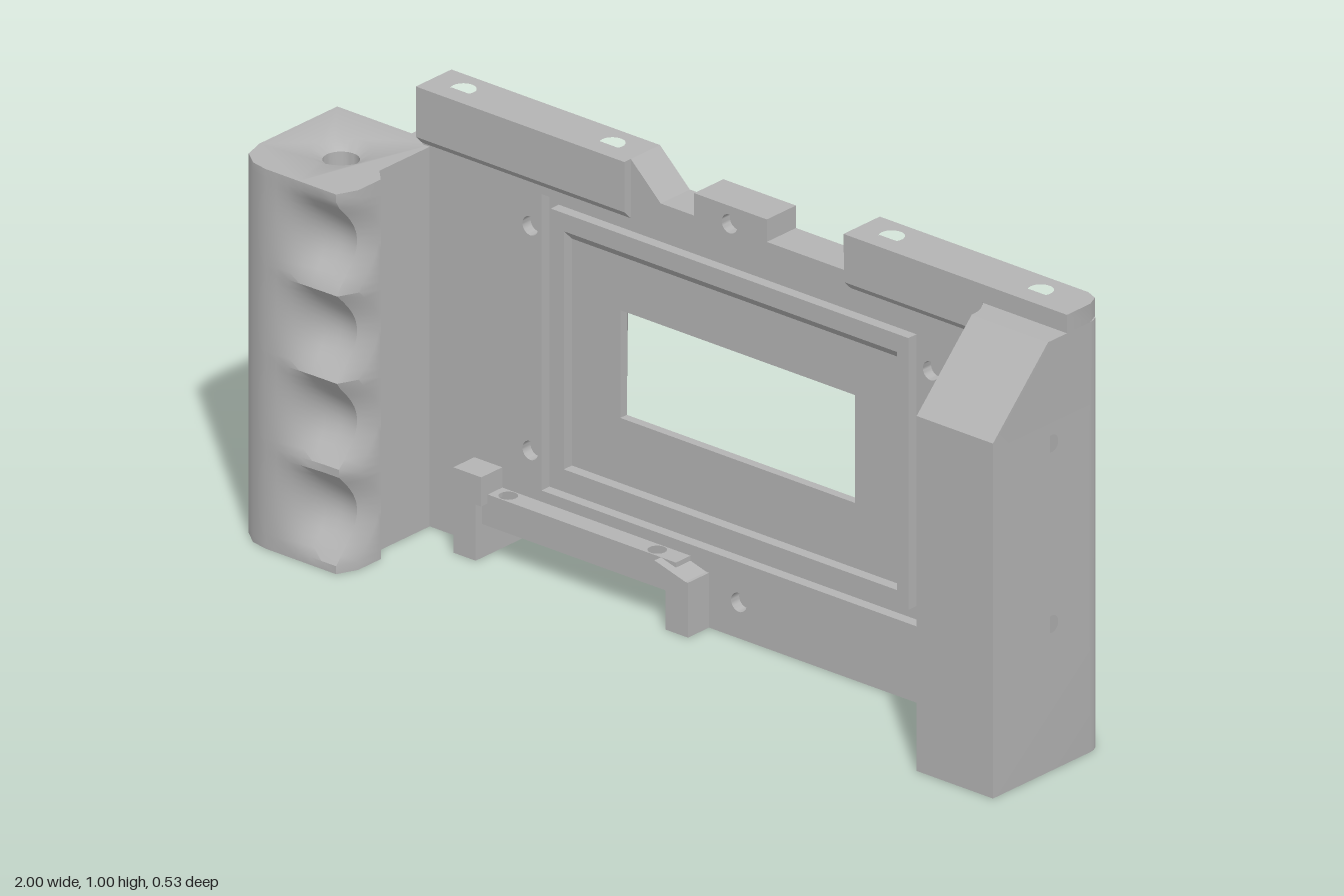
import * as THREE from 'three';
import { toCreasedNormals } from 'three/addons/utils/BufferGeometryUtils.js';

const grey = new THREE.MeshStandardMaterial({ color: 0xb3b3b3 });
grey.name = 'grey';
const greyOpen = grey;

const rect = (x0, x1, y0, y1) => [[x0, y0], [x1, y0], [x1, y1], [x0, y1]];
const circle = (x, y, r, n = 28) => Array.from({ length: n }, (_, i) => {
  const a = (i / n) * Math.PI * 2;
  return [x + r * Math.cos(a), y + r * Math.sin(a)];
});
const toVectors = (pts, flip) => pts.map(([a, b]) =>
  flip === 'z' ? new THREE.Vector2(a, -b) : flip === 'x' ? new THREE.Vector2(-a, b) : new THREE.Vector2(a, b));

function extrude(pts, holes, depth, flip, steps = 1) {
  const shape = new THREE.Shape(toVectors(pts, flip));
  shape.holes = holes.map(h => new THREE.Path(toVectors(h, flip)));
  return new THREE.ExtrudeGeometry(shape, { depth, steps, bevelEnabled: false });
}
// (x, y) outline, thick along z
const alongZ = (pts, holes, z0, z1) => extrude(pts, holes, z1 - z0).translate(0, 0, z0);
// (x, z) outline, thick along y
const alongY = (pts, holes, y0, y1, steps) =>
  extrude(pts, holes, y1 - y0, 'z', steps).rotateX(-Math.PI / 2).translate(0, y0, 0);
// (z, y) outline, thick along x
const alongX = (pts, holes, x0, x1) =>
  extrude(pts, holes, x1 - x0, 'x').rotateY(Math.PI / 2).translate(x0, 0, 0);

// Move every vertex by a rule
function reshape(geo, rule) {
  const p = geo.attributes.position, v = new THREE.Vector3();
  for (let i = 0; i < p.count; i++) {
    rule(v.fromBufferAttribute(p, i));
    p.setXYZ(i, v.x, v.y, v.z);
  }
  geo.computeVertexNormals();
  return geo;
}

export function createModel() {
  const model = new THREE.Group();
  const add = (name, geo, smooth = true) => {
    const mesh = new THREE.Mesh(smooth ? toCreasedNormals(geo, 0.6) : geo, greyOpen);
    mesh.name = name;
    model.add(mesh);
  };

  // Main plate, built in layers from back to front
  const outline = [[-0.8, 0], [-0.55, 0], [-0.55, 0.075], [-0.04, 0.075], [-0.04, 0], [0.96, 0],
    [0.96, 0.957], [0.4, 0.957], [0.4, 0.905], [0.175, 0.905], [0.175, 0.955], [-0.02, 0.955],
    [-0.02, 0.905], [-0.11, 0.905], [-0.19, 0.98], [-0.19, 0.94], [-0.75, 0.94], [-0.75, 0.845], [-0.8, 0.845]];
  const windowRect = rect(-0.24, 0.39, 0.38, 0.62);
  const bezel = [[-0.31, 0.345], [0.46, 0.345], [0.415, 0.645], [-0.265, 0.645]];
  const backHoles = [], frontHoles = [circle(0.1, 0.08, 0.021), circle(0.075, 0.915, 0.021)];
  for (const y of [0.285, 0.68]) for (const x of [-0.51, 0.72]) backHoles.push(circle(x, y, 0.045));
  for (const y of [0.25, 0.75]) for (const x of [-0.46, 0.615]) frontHoles.push(circle(x, y, 0.021));
  add('plateBack', alongZ(outline, [rect(-0.6, 0.81, 0.2, 0.74)], -0.125, -0.113));
  add('plateCore', alongZ(outline, [bezel, ...backHoles], -0.113, -0.08));
  add('plateWindowLayer', alongZ(outline, [windowRect], -0.08, -0.06));
  add('plateFront', alongZ(outline, [rect(-0.43, 0.58, 0.17, 0.83), ...frontHoles], -0.06, -0.035));
  add('windowFrame', alongZ(rect(-0.405, 0.555, 0.2, 0.805), [rect(-0.37, 0.525, 0.235, 0.765)], -0.06, -0.035));
  add('frameSlope', alongX([[-0.06, 0.74], [-0.035, 0.765], [-0.06, 0.765]], [], -0.37, 0.525));

  // Sloping walls from the rear opening in to the window
  const walls = [];
  for (let i = 0; i < 4; i++) {
    const j = (i + 1) % 4;
    const a = [...bezel[i], -0.113], b = [...bezel[j], -0.113];
    const c = [...windowRect[j], -0.08], d = [...windowRect[i], -0.08];
    walls.push(...a, ...c, ...b, ...a, ...d, ...c);
  }
  const wallGeo = new THREE.BufferGeometry();
  wallGeo.setAttribute('position', new THREE.Float32BufferAttribute(walls, 3));
  wallGeo.computeVertexNormals();
  add('windowBezel', wallGeo, false);

  // Top rails: chamfered front lips with drilled caps
  const railProfile = (low, top) => [[-0.06, low - 0.02], [-0.035, low - 0.02], [-0.015, low], [-0.015, top], [-0.06, top]];
  add('rightRailLip', alongX(railProfile(0.868, 0.94), [], -0.75, -0.19));
  add('leftRailLip', alongX(railProfile(0.89, 0.957), [], 0.4, 0.8));
  add('rightRailCap', alongY(rect(-0.75, -0.19, -0.125, -0.015),
    [circle(-0.67, -0.07, 0.027), circle(-0.27, -0.07, 0.027)], 0.94, 0.98));
  add('leftRailCap', alongY([[0.4, -0.125], [0.96, -0.125], [0.988, -0.113], [1, -0.085], [1, -0.013], [0.4, -0.013]],
    [circle(0.48, -0.07, 0.027), circle(0.88, -0.07, 0.027)], 0.957, 0.998));

  // Left side block with a pocket and a rounded rear edge
  const blockProfile = back => [[back, 0], [0.215, 0], [0.215, 0.79], [0.045, 0.957], [back, 0.957]];
  const pocketHoles = [];
  for (const y of [0.298, 0.7]) for (const z of [-0.013, 0.117]) pocketHoles.push(circle(z, y, 0.019));
  add('sideBlock', alongX(blockProfile(-0.1), [], 0.795, 0.935));
  add('pocketFloor', alongX(blockProfile(-0.1), pocketHoles, 0.935, 0.96));
  const n = 5;
  for (let i = 0; i < n; i++) {
    const a0 = (i / n) * Math.PI / 2, a1 = ((i + 1) / n) * Math.PI / 2;
    const x0 = 0.96 + 0.04 * Math.sin(a0), x1 = 0.96 + 0.04 * Math.sin(a1);
    const z0 = -0.085 - 0.04 * Math.cos(a0), z1 = -0.0855 - 0.04 * Math.cos(a1);
    const slab = alongX(blockProfile(z0), [rect(-0.084, 0.187, 0.235, 0.76)], x0, x1);
    add('pocketRim', reshape(slab, v => {
      if (v.x > x1 - 1e-5 && Math.abs(v.z - z0) < 1e-5) v.z = z1;
    }));
  }
  const fillet = [[0.81, -0.05], [0.72, -0.05], [0.72, -0.035]];
  for (let i = 1; i <= 8; i++) {
    const a = (i / 8) * Math.PI / 2;
    fillet.push([0.72 + 0.075 * Math.sin(a), 0.04 - 0.075 * Math.cos(a)]);
  }
  fillet.push([0.81, 0.04]);
  add('blockFillet', alongY(fillet, [], 0, 0.957));

  // Hand grip with finger scallops and a countersunk through hole
  const gripFront = [[-1, -0.06], [-1, 0.18], [-0.985, 0.23], [-0.95, 0.257], [-0.91, 0.265], [-0.88, 0.265],
    [-0.85, 0.265], [-0.82, 0.265], [-0.79, 0.265], [-0.76, 0.265], [-0.72, 0.265], [-0.7, 0.22],
    [-0.7, 0.15], [-0.73, 0.12], [-0.73, -0.06]];
  add('gripFront', reshape(alongY(gripFront, [circle(-0.85, 0.1, 0.068)], 0, 0.845, 48), v => {
    const dx = v.x + 0.85, dz = v.z - 0.1;
    if (Math.hypot(dx, dz) < 0.07) {
      if (v.y > 0.005 && v.y < 0.84) { v.x = -0.85 + dx * 0.56; v.z = 0.1 + dz * 0.56; }
    } else if (v.z > 0.2 && v.y > 0.02 && v.y < 0.82) {
      const w = THREE.MathUtils.smoothstep(v.x, -0.89, -0.74);
      v.z -= 0.065 * w * Math.abs(Math.sin((v.y - 0.02) / 0.2 * Math.PI));
    }
  }));
  const gripBack = [[-1, -0.06], [-1, -0.23], [-0.988, -0.258], [-0.96, -0.27], [-0.85, -0.27], [-0.822, -0.258],
    [-0.81, -0.23], [-0.81, -0.13], [-0.78, -0.1], [-0.78, -0.06]];
  add('gripBack', reshape(alongY(gripBack, [], 0, 0.845), v => {
    if (v.y > 0.5) v.y = 0.845 + (v.z + 0.06);
  }));

  // Lower cross bar and its end hooks, front and back
  const barHoles = [];
  for (const x of [-0.5, -0.1]) for (const z of [-0.16, -0.013]) barHoles.push(circle(x, z, 0.02));
  add('crossBar', alongY(rect(-0.56, -0.03, -0.2, 0.01), barHoles, 0.075, 0.145));
  add('rightHookBase', alongX(rect(-0.228, 0.03, 0, 0.125), [], -0.61, -0.55));
  add('rightHookFront', alongX(rect(-0.04, 0.03, 0.125, 0.19), [], -0.61, -0.535));
  add('rightHookBack', alongX(rect(-0.228, -0.145, 0.125, 0.19), [], -0.61, -0.535));
  add('leftHookBase', alongX(rect(-0.228, 0.03, 0, 0.122), [], -0.04, 0.02));
  add('leftHookBack', alongX(rect(-0.228, -0.145, 0.122, 0.19), [], -0.06, 0.02));
  add('leftHookRamp', alongZ([[-0.07, 0.12], [0.02, 0.12], [-0.07, 0.145]], [], -0.04, 0.03));
  return model;
}
